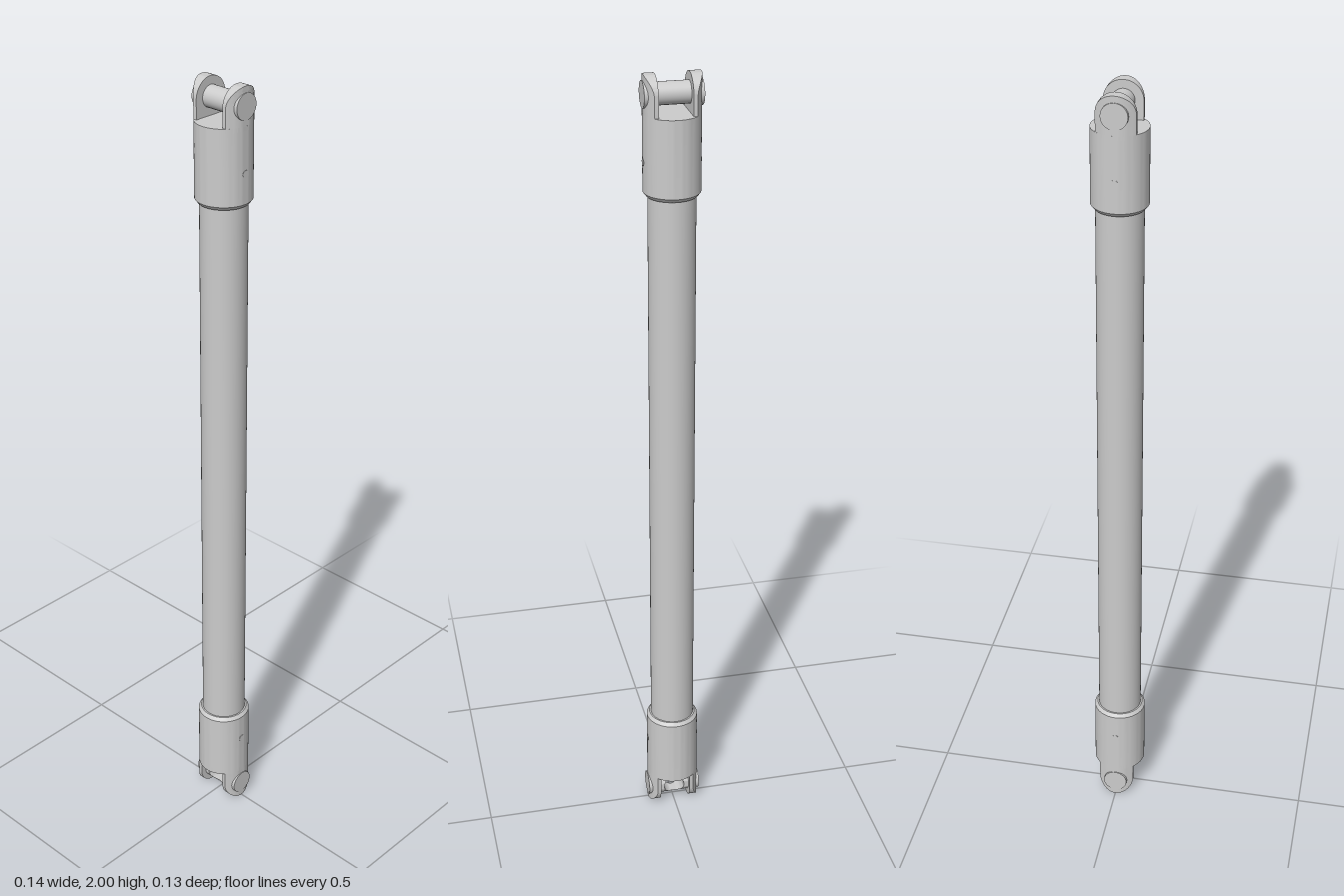
import * as THREE from 'three';
import { toCreasedNormals } from 'three/addons/utils/BufferGeometryUtils.js';

const R = 0.067;        // socket radius
const EYE = 0.954;      // pin height above the middle of the shaft
const EAR_R = 0.046;    // half width of an ear
const GAP = 0.0395;     // half gap between the ears
const material = new THREE.MeshStandardMaterial({ color: 0xcccccc, side: THREE.DoubleSide });

function part(name, geometry) {
  const mesh = new THREE.Mesh(geometry, material);
  mesh.name = name;
  return mesh;
}

// Surface through a list of closed rings that have equal point counts
function loft(rings, closed = false) {
  const n = rings[0].length, m = rings.length, index = [];
  for (let j = 0; j < (closed ? m : m - 1); j++) {
    for (let i = 0; i < n; i++) {
      const a = j * n + i, b = j * n + (i + 1) % n;
      const c = ((j + 1) % m) * n + i, d = ((j + 1) % m) * n + (i + 1) % n;
      index.push(a, c, b, b, c, d);
    }
  }
  const g = new THREE.BufferGeometry();
  g.setAttribute('position', new THREE.Float32BufferAttribute(rings.flat(2), 3));
  g.setIndex(index);
  return toCreasedNormals(g, 0.6);
}

// Ear: flat inside, following the socket's curve outside, round at the tip
function earGeometry() {
  const ring = (y, w) => {
    const pts = [], n = 12;
    for (let i = 0; i <= n; i++) pts.push([GAP, y, w * (2 * i / n - 1)]);
    for (let i = 0; i <= n; i++) {
      const z = w * (1 - 2 * i / n);
      pts.push([Math.sqrt(R * R - z * z), y, z]);
    }
    return pts;
  };
  const rings = [ring(0.90, EAR_R)];
  for (let i = 0; i <= 16; i++) {
    const a = i / 16 * Math.PI / 2;
    rings.push(ring(EYE + EAR_R * Math.sin(a), EAR_R * Math.cos(a)));
  }
  return loft(rings);
}

// Round cross bar along x, bored through along z
function boredPinGeometry() {
  const r = 0.031, hole = 0.027, n = 64, steps = 6;
  const ring = (t, side) => {
    const pts = [];
    for (let i = 0; i < n; i++) {
      const a = i / n * Math.PI * 2, c = Math.cos(a), s = Math.sin(a);
      const reach = Math.min((GAP + 0.001) / Math.abs(c), r / Math.abs(s));
      const d = hole + (reach - hole) * t;
      const y = d * s;
      pts.push([d * c, y, side * Math.sqrt(Math.max(0, r * r - y * y))]);
    }
    return pts;
  };
  const rings = [];
  for (let j = 0; j <= steps; j++) rings.push(ring(j / steps, 1));
  for (let j = steps; j >= 0; j--) rings.push(ring(j / steps, -1));
  return loft(rings, true);
}

// Socket with two ears, pin heads and side rivets; y = 0 is mid-shaft
function fork(name, pin) {
  const group = new THREE.Group();
  group.name = name;
  const profile = [[0, 0.72], [0.060, 0.72], [R, 0.729], [R, 0.91], [0, 0.91]]
    .map(([x, y]) => new THREE.Vector2(x, y));
  group.add(part('socket', toCreasedNormals(new THREE.LatheGeometry(profile, 64), 0.5)));

  for (const side of [1, -1]) {
    const ear = part('ear', earGeometry());
    ear.rotation.y = side > 0 ? 0 : Math.PI;
    const head = part('pinHead', new THREE.CylinderGeometry(0.031, 0.031, 0.018, 32));
    head.rotation.z = Math.PI / 2;
    head.position.set(side * 0.0595, EYE, 0);
    const rivet = part('rivet', new THREE.CylinderGeometry(0.009, 0.009, 0.006, 20));
    rivet.rotation.z = Math.PI / 2;
    rivet.position.set(side * 0.0645, 0.80, 0);
    group.add(ear, head, rivet);
  }
  pin.position.y = EYE;
  group.add(pin);
  return group;
}

export function createModel() {
  const model = new THREE.Group();
  model.name = 'driveShaft';

  const shaft = part('shaft', new THREE.CylinderGeometry(0.056, 0.056, 1.46, 64));
  shaft.position.y = 1;

  // Upper fork holds a plain pin
  const plainPin = part('plainPin', new THREE.CylinderGeometry(0.026, 0.026, 0.082, 40));
  plainPin.rotation.z = Math.PI / 2;
  const upper = fork('upperFork', plainPin);
  upper.position.y = 1;

  // Lower fork is turned over and holds the bored pin
  const lower = fork('lowerFork', part('boredPin', boredPinGeometry()));
  lower.rotation.x = Math.PI;
  lower.position.y = 1;

  model.add(shaft, upper, lower);
  return model;
}
